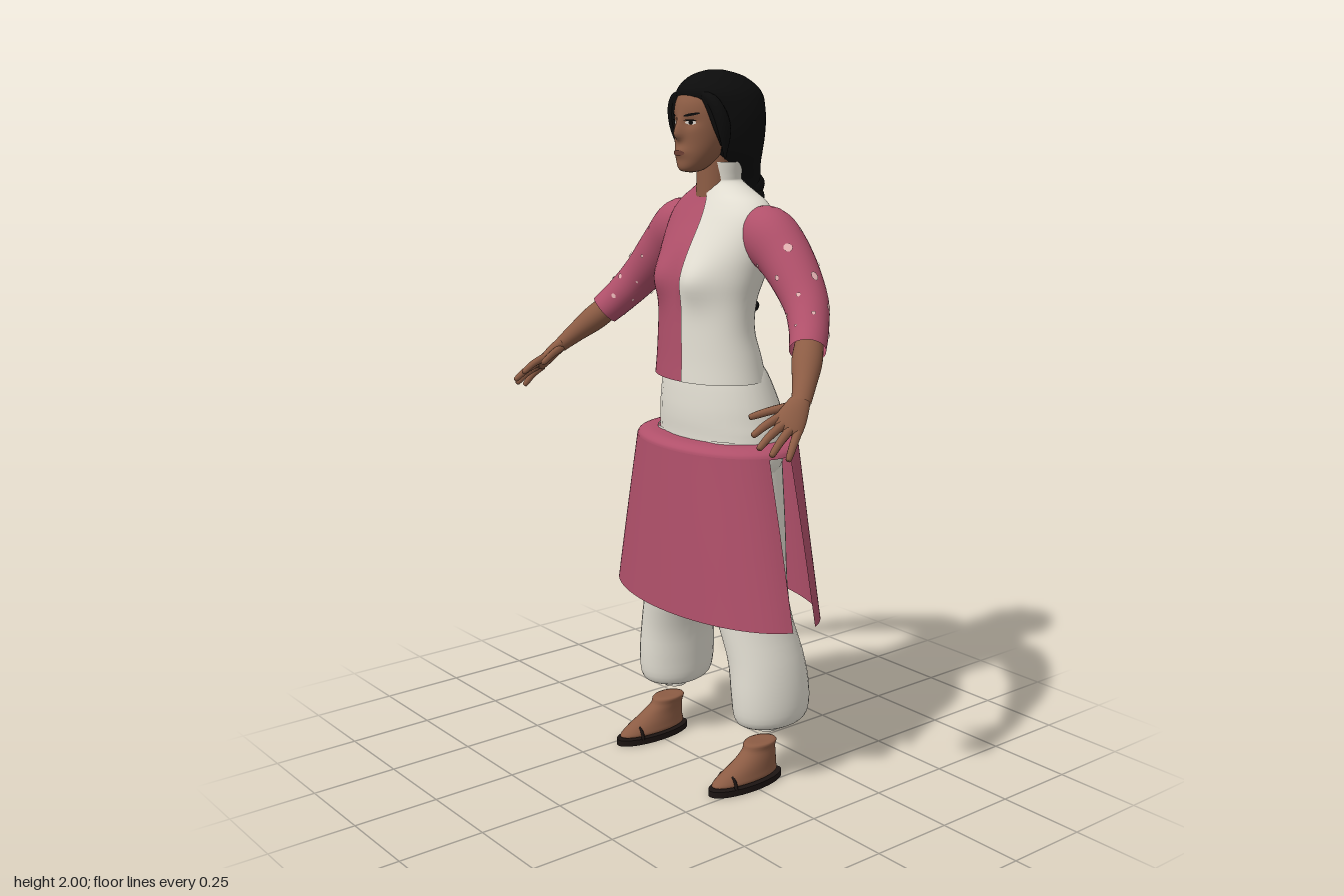
import * as THREE from 'three';

const mat = (name, color, side = THREE.FrontSide) => {
  const m = new THREE.MeshStandardMaterial({ color, side });
  m.name = name;
  return m;
};
const V = (x, y, z) => new THREE.Vector3(x, y, z);
const gauss = (d, w) => Math.exp(-(d * d) / (w * w));

// Smooth surface through elliptical sections [x, y, z, rx, rz]; angle 0 faces +z.
// With ref the sections follow the path, otherwise they stay level.
function surface(rows, { ref = null, warp = null } = {}) {
  const path = new THREE.CatmullRomCurve3(rows.map(r => V(r[0], r[1], r[2])), false, 'catmullrom');
  const size = new THREE.CatmullRomCurve3(rows.map(r => V(r[3], r[4], 0)), false, 'catmullrom');
  const at = (t, a, off = 0) => {
    const c = path.getPoint(t), r = size.getPoint(t);
    let u = V(1, 0, 0), v = V(0, 0, 1);
    if (ref) {
      const T = path.getTangent(t);
      u = ref.clone().cross(T).normalize();
      v = u.clone().cross(T);
    }
    c.addScaledVector(u, (Math.max(r.x, 0.0005) + off) * Math.sin(a));
    c.addScaledVector(v, (Math.max(r.y, 0.0005) + off) * Math.cos(a));
    if (warp) warp(c, a);
    return c;
  };
  return { at, path, size };
}

function skin(s, { segs = 32, rings = 24, a0 = 0, a1 = Math.PI * 2, off = 0 } = {}) {
  const full = a1 - a0 > 6.28, cols = full ? segs : segs + 1, pos = [], idx = [];
  for (let i = 0; i <= rings; i++)
    for (let j = 0; j < cols; j++) pos.push(...s.at(i / rings, a0 + (a1 - a0) * j / segs, off).toArray());
  for (let i = 0; i < rings; i++)
    for (let j = 0; j < segs; j++) {
      const a = i * cols + j, b = i * cols + (j + 1) % cols;
      idx.push(a, b, b + cols, a, b + cols, a + cols);
    }
  const g = new THREE.BufferGeometry();
  g.setAttribute('position', new THREE.Float32BufferAttribute(pos, 3));
  g.setIndex(idx);
  g.computeVertexNormals();
  return g;
}

// Flat disc whose points are laid on a surface by map(x, y)
function patch(map, n = 10) {
  const g = new THREE.CircleGeometry(1, n), p = g.attributes.position;
  for (let i = 0; i < p.count; i++) p.setXYZ(i, ...map(p.getX(i), p.getY(i)).toArray());
  g.computeVertexNormals();
  return g;
}

export function createModel() {
  const D = THREE.DoubleSide;
  const brown = mat('skin', 0x8c5c44), lip = mat('lips', 0x6e4034), black = mat('hair', 0x0c0c0c);
  const pink = mat('pinkCloth', 0xb0506a, D), pale = mat('paleSpots', 0xe6b4b4, D);
  const cream = mat('creamCloth', 0xe4e0d4, D), sole = mat('sandal', 0x1c1412), white = mat('eyeWhite', 0xd8d0c8);
  const model = new THREE.Group();
  const add = (name, geo, m, parent = model) => {
    const mesh = new THREE.Mesh(geo, m);
    mesh.name = name;
    parent.add(mesh);
    return mesh;
  };

  // Two-tone bodice
  const bust = p => {
    if (p.z > -0.03) p.z += 0.024 * gauss(p.y - 1.44, 0.06) * gauss(Math.abs(p.x) - 0.08, 0.055);
  };
  const body = [
    [0, 1.16, -0.035, 0.185, 0.13], [0, 1.22, -0.03, 0.175, 0.122], [0, 1.3, -0.02, 0.163, 0.11],
    [0, 1.38, -0.025, 0.163, 0.113], [0, 1.45, -0.04, 0.175, 0.125], [0, 1.52, -0.057, 0.185, 0.125],
    [0, 1.6, -0.076, 0.185, 0.103], [0, 1.645, -0.083, 0.155, 0.087], [0, 1.675, -0.08, 0.105, 0.07],
    [0, 1.7, -0.075, 0.063, 0.055], [0, 1.715, -0.073, 0.058, 0.052]];
  add('bodicePinkHalf', skin(surface(body, { warp: bust }), { a0: Math.PI, a1: Math.PI * 2 + 0.22, rings: 44 }), pink);
  const vest = [...body, [0, 1.755, -0.075, 0.062, 0.057]];
  add('bodiceCreamHalf', skin(surface(vest, { warp: bust }), { a0: 0.2, a1: Math.PI + 0.1, rings: 48, off: 0.004 }), cream);

  // Trousers
  add('trouserHips', skin(surface([
    [0, 0.8, -0.07, 0.1, 0.08], [0, 0.9, -0.075, 0.21, 0.135], [0, 1.0, -0.08, 0.217, 0.146],
    [0, 1.05, -0.078, 0.21, 0.148], [0, 1.1, -0.07, 0.2, 0.14], [0, 1.17, -0.057, 0.18, 0.122],
    [0, 1.21, -0.05, 0.16, 0.1]])), cream);

  // Split skirt: yoke, front panel and back panel
  const lift = p => { p.y += 0.035 * THREE.MathUtils.smoothstep(-p.z, 0.08, 0.25) * THREE.MathUtils.smoothstep(p.y, 0.7, 0.97); };
  const skirt = surface([[0, 0.5, -0.06, 0.392, 0.204], [0, 0.74, -0.06, 0.337, 0.196], [0, 0.97, -0.06, 0.28, 0.188]], { warp: lift });
  add('skirtFront', skin(skirt, { a0: -1.37, a1: 1.37, segs: 40, rings: 8 }), pink);
  add('skirtBack', skin(skirt, { a0: Math.PI - 1.37, a1: Math.PI + 1.37, segs: 40, rings: 8 }), pink);
  add('skirtYoke', skin(surface([[0, 0.965, -0.06, 0.281, 0.188], [0, 0.98, -0.062, 0.272, 0.186],
    [0, 0.992, -0.07, 0.245, 0.172], [0, 0.994, -0.075, 0.205, 0.14]], { warp: lift }), { segs: 56, rings: 10 }), pink);

  for (const s of [1, -1]) {
    const side = s > 0 ? 'left' : 'right';
    const limb = new THREE.Group();
    limb.name = side + 'Limbs';
    model.add(limb);
    const ref = V(0.72 * s, 0.67, 0.4);
    const along = rows => surface(rows.map(([x, ...r]) => [x * s, ...r]), { ref });

    // Sleeve with pale spots
    const sleeve = along([[0.12, 1.575, -0.09, 0.06, 0.06], [0.185, 1.56, -0.09, 0.08, 0.083],
      [0.265, 1.5, -0.088, 0.073, 0.074], [0.355, 1.41, -0.07, 0.062, 0.06],
      [0.41, 1.345, -0.035, 0.053, 0.052], [0.45, 1.295, 0.005, 0.048, 0.047]]);
    add('sleeve', skin(sleeve), pink, limb);
    for (let k = 0; k < 22; k++) {
      const t = 0.3 + 0.62 * k / 22, a = k * 2.4, r = 0.7 + 0.3 * Math.sin(k * 5);
      add('sleeveSpot', patch((x, y) => sleeve.at(t + y * 0.022 * r, a + x * 0.17 * r, 0.003), 8), pale, limb);
    }

    // Forearm, palm and fingers
    add('forearm', skin(along([[0.43, 1.32, -0.02, 0.036, 0.036], [0.47, 1.272, 0.025, 0.04, 0.038],
      [0.51, 1.225, 0.07, 0.031, 0.029], [0.54, 1.185, 0.108, 0.025, 0.021]])), brown, limb);
    add('palm', skin(along([[0.532, 1.197, 0.095, 0.022, 0.018], [0.541, 1.178, 0.12, 0.031, 0.019],
      [0.55, 1.15, 0.15, 0.039, 0.017], [0.556, 1.13, 0.172, 0.037, 0.013], [0.558, 1.122, 0.18, 0.002, 0.002]])), brown, limb);
    const fingers = [
      [[0.53, 1.158, 0.17], [0.528, 1.142, 0.215], [0.524, 1.122, 0.25]],
      [[0.547, 1.145, 0.168], [0.553, 1.122, 0.22], [0.556, 1.096, 0.258]],
      [[0.562, 1.132, 0.162], [0.574, 1.108, 0.205], [0.58, 1.08, 0.238]],
      [[0.575, 1.122, 0.15], [0.59, 1.096, 0.178], [0.599, 1.066, 0.2]],
      [[0.527, 1.18, 0.115], [0.497, 1.168, 0.17], [0.472, 1.154, 0.214]]];
    for (const [a, b, c] of fingers) {
      const tip = c.map((v, i) => v + (c[i] - b[i]) * 0.1);
      add('finger', skin(along([[...a, 0.012, 0.012], [...b, 0.0105, 0.0105], [...c, 0.008, 0.008], [...tip, 0.001, 0.001]]),
        { segs: 10, rings: 10 }), brown, limb);
    }

    // Gathered trouser leg and cuff
    add('trouserLeg', skin(surface([[0.215, 0.17, -0.075, 0.035, 0.04], [0.217, 0.175, -0.08, 0.07, 0.09],
      [0.22, 0.2, -0.085, 0.09, 0.117], [0.217, 0.27, -0.085, 0.095, 0.124], [0.203, 0.37, -0.078, 0.094, 0.119],
      [0.16, 0.52, -0.06, 0.098, 0.115], [0.125, 0.75, -0.06, 0.108, 0.125], [0.1, 1.0, -0.07, 0.1, 0.12]]
      .map(([x, ...r]) => [x * s, ...r]))), cream, limb);
    const cuff = add('trouserCuff', new THREE.CylinderGeometry(0.035, 0.035, 0.03, 24), cream, limb);
    cuff.position.set(0.215 * s, 0.168, -0.073);

    // Foot and sandal
    add('foot', skin(surface([[0.22, 0.018, 0.012, 0.03, 0.1], [0.22, 0.026, 0.012, 0.043, 0.117],
      [0.22, 0.045, 0.002, 0.041, 0.104], [0.22, 0.075, -0.025, 0.036, 0.075], [0.217, 0.1, -0.043, 0.034, 0.056],
      [0.216, 0.12, -0.05, 0.035, 0.05], [0.216, 0.121, -0.05, 0.001, 0.001]].map(([x, ...r]) => [x * s, ...r]))), brown, limb);
    const base = add('sandalSole', new THREE.CylinderGeometry(1, 1, 0.018, 32), sole, limb);
    base.scale.set(0.05, 1, 0.13);
    base.position.set(0.221 * s, 0.009, 0.01);
    const strap = add('sandalStrap', new THREE.TorusGeometry(0.04, 0.005, 6, 16, Math.PI), sole, limb);
    strap.position.set(0.22 * s, 0.014, 0.075);
  }

  // Neck and face
  const neck = add('neck', new THREE.CylinderGeometry(0.046, 0.05, 0.13, 24), brown);
  neck.position.set(0, 1.725, -0.05);
  const features = p => {
    if (p.z < 0) return;
    const bridge = p.y > 1.83 ? gauss(p.y - 1.83, 0.035) : gauss(p.y - 1.83, 0.014);
    p.z += 0.02 * bridge * gauss(p.x, 0.014) + 0.007 * gauss(p.y - 1.783, 0.013) * gauss(p.x, 0.025);
    p.z -= 0.008 * gauss(p.y - 1.862, 0.014) * gauss(Math.abs(p.x) - 0.033, 0.02);
  };
  const face = surface([[0, 1.727, 0.03, 0.002, 0.002], [0, 1.735, 0.028, 0.028, 0.036], [0, 1.765, 0.01, 0.052, 0.06],
    [0, 1.81, -0.008, 0.07, 0.077], [0, 1.87, -0.022, 0.08, 0.092], [0, 1.92, -0.03, 0.079, 0.092],
    [0, 1.96, -0.04, 0.06, 0.07], [0, 1.98, -0.045, 0.002, 0.002]], { warp: features });
  add('face', skin(face, { segs: 72, rings: 64 }), brown);
  const faceSpot = (name, m, x, y, w, h, off, tilt = 0) => add(name, patch((cx, cy) => {
    const px = x + w * cx, py = y + h * cy + tilt * w * cx;
    let lo = 0, hi = 1;
    for (let i = 0; i < 24; i++) {
      const mid = (lo + hi) / 2;
      if (face.path.getPoint(mid).y < py) lo = mid; else hi = mid;
    }
    return face.at(lo, Math.asin(px / face.size.getPoint(lo).x), off);
  }, 16), m);
  for (const s of [1, -1]) {
    faceSpot('eye', white, 0.033 * s, 1.862, 0.014, 0.0055, 0.003);
    faceSpot('iris', black, 0.033 * s, 1.862, 0.006, 0.0055, 0.005);
    faceSpot('upperLid', black, 0.033 * s, 1.868, 0.016, 0.002, 0.005);
    faceSpot('eyebrow', black, 0.036 * s, 1.883, 0.02, 0.0035, 0.003, 0.2 * s);
  }
  faceSpot('lips', lip, 0, 1.781, 0.022, 0.008, 0.003);

  // Hair cap narrowing into the nape, with loose locks at the temples
  add('hair', skin(surface([[0, 1.64, -0.175, 0.03, 0.025], [0, 1.7, -0.165, 0.048, 0.035], [0, 1.745, -0.13, 0.075, 0.062],
    [0, 1.78, -0.105, 0.1, 0.085], [0, 1.83, -0.09, 0.117, 0.104], [0, 1.885, -0.082, 0.121, 0.114],
    [0, 1.94, -0.068, 0.106, 0.124], [0, 1.98, -0.06, 0.068, 0.085], [0, 1.998, -0.055, 0.025, 0.03],
    [0, 2.0, -0.055, 0.001, 0.001]]), { segs: 40, rings: 40 }), black);
  for (const s of [1, -1])
    for (const [x, y] of [[0.088, 1.8], [0.104, 1.765]])
      add('templeLock', skin(surface([[0.03 * s, 1.945, 0.035, 0.004, 0.004], [(x - 0.02) * s, 1.915, 0.02, 0.018, 0.016],
        [x * s, 1.85, 0.0, 0.016, 0.02], [(x - 0.01) * s, y, -0.012, 0.002, 0.002]], { ref: V(0, 0, 1) }),
      { segs: 12, rings: 14 }), black);

  // Braid of paired, tapering lobes
  const braid = new THREE.CatmullRomCurve3([V(0, 1.7, -0.18), V(0, 1.6, -0.19), V(0, 1.5, -0.2), V(0, 1.34, -0.195)]);
  for (let k = 0; k < 18; k++) {
    const t = k / 17, r = 0.034 - 0.019 * t, s = k % 2 ? 1 : -1;
    const lobe = add('braidLobe', new THREE.SphereGeometry(1, 12, 8), black);
    lobe.scale.set(r * 0.85, r * 1.15, r * 0.9);
    lobe.position.copy(braid.getPoint(t)).add(V(s * r * 0.5, 0, 0));
    lobe.rotation.z = s * -0.55;
  }
  return model;
}
